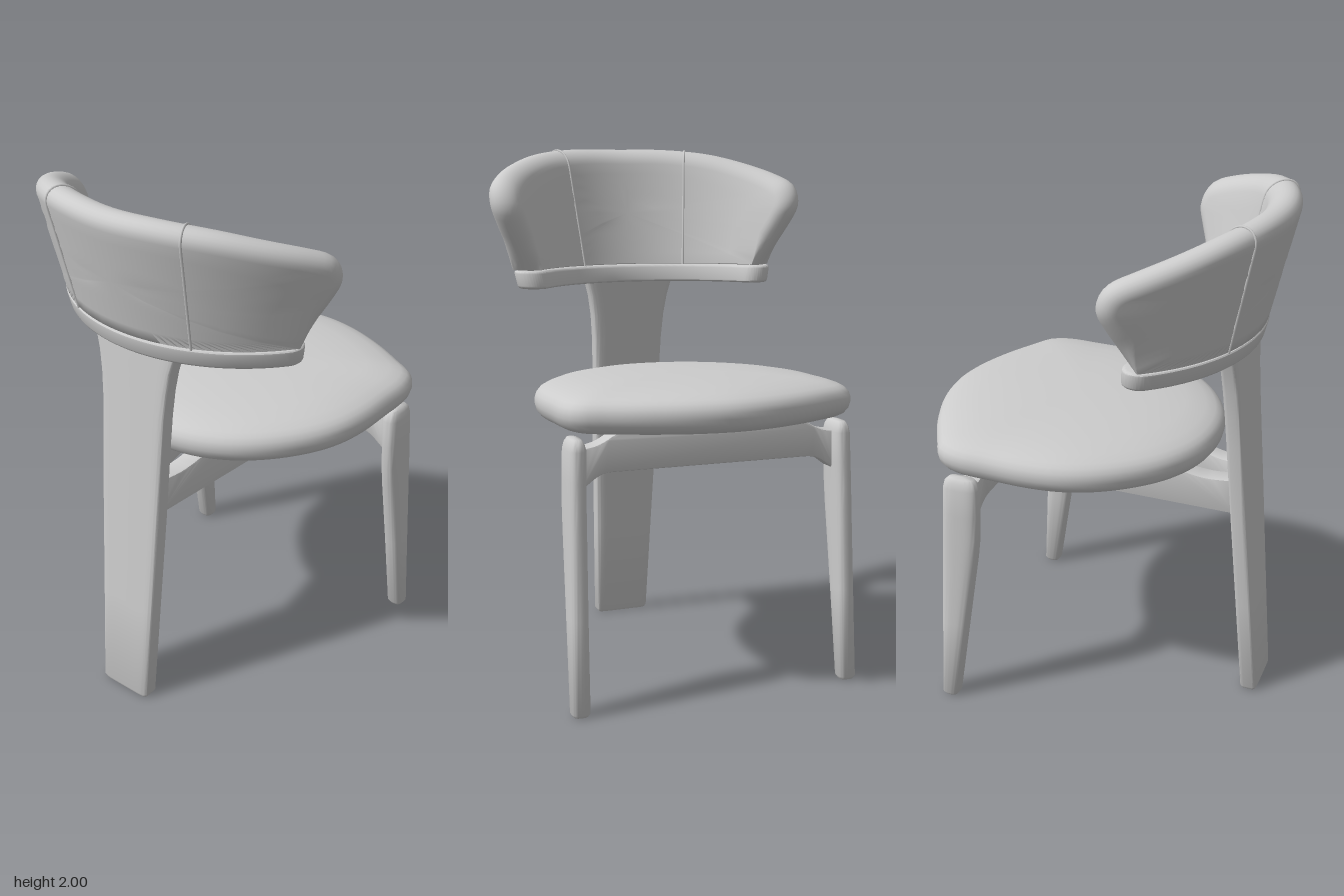
import * as THREE from 'three';
import { toCreasedNormals } from 'three/addons/utils/BufferGeometryUtils.js';

const V2 = (x, y) => new THREE.Vector2(x, y);
const V3 = (x, y, z) => new THREE.Vector3(x, y, z);

// Skin a list of closed rings (same point count), facing outward.
function loft(rings, crease = 0.8) {
  const n = rings[0].length, pts = rings.flat(), index = [];
  for (let r = 0; r < rings.length - 1; r++) {
    for (let i = 0; i < n; i++) {
      const j = (i + 1) % n, a = r * n + i, b = r * n + j, c = a + n, d = b + n;
      index.push(a, c, b, b, c, d);
    }
  }
  let volume = 0;
  for (let k = 0; k < index.length; k += 3) {
    const [a, b, c] = [0, 1, 2].map((o) => pts[index[k + o]]);
    volume += a.dot(b.clone().cross(c));
  }
  if (volume < 0) index.reverse();
  const geo = new THREE.BufferGeometry().setFromPoints(pts);
  geo.setIndex(index);
  return toCreasedNormals(geo, crease);
}

// Horizontal rounded ring; a higher power gives a boxier outline.
function ring(y, xc, zc, hx, hz, power, n = 40) {
  const f = (v) => Math.sign(v) * Math.abs(v) ** (2 / power);
  return Array.from({ length: n }, (_, i) => {
    const a = ((i + 0.5) / n) * Math.PI * 2;
    return V3(xc + hx * f(Math.cos(a)), y, zc + hz * f(Math.sin(a)));
  });
}

// Backrest surface: a cone section opening upwards around a vertical axis.
const AXIS_X = 0.08, DEG = Math.PI / 180, ARC = 0.65;
const coneRadius = (y) => 0.58 + (y - 1.46) * 0.23;
function onCone(angle, y, offset) {
  const r = coneRadius(y) + offset;
  return V3(AXIS_X - r * Math.cos(angle), y, r * Math.sin(angle));
}

function seatGeometry() {
  const half = [[-0.41, 0.15], [-0.345, 0.29], [-0.25, 0.4], [-0.12, 0.495], [0, 0.545],
    [0.13, 0.565], [0.28, 0.565], [0.4, 0.562], [0.48, 0.53], [0.535, 0.44], [0.6, 0.31], [0.655, 0.15]];
  const outline = [[-0.43, 0], ...half, [0.675, 0], ...half.map(([x, z]) => [x, -z]).reverse()];
  const curve = new THREE.CatmullRomCurve3(outline.map(([x, z]) => V3(x, 0, z)), true);
  const points = curve.getSpacedPoints(96).slice(0, 96);
  const profile = [[0, -0.06], [0.5, -0.06], [0.86, -0.059], [0.92, -0.053], [0.965, -0.04], [0.99, -0.022],
    [1, 0], [1, 0.02], [0.99, 0.038], [0.965, 0.055], [0.93, 0.066], [0.86, 0.08], [0.72, 0.094],
    [0.5, 0.105], [0.25, 0.11], [0, 0.111]];
  return loft(profile.map(([s, h]) => points.map((p) => {
    const x = 0.12 + (p.x - 0.12) * s;
    return V3(x, 1.045 + (x + 0.42) * 0.023 + h, p.z * s);
  })), 1.0);
}

function padGeometry() {
  // Unrolled outline: arc length against height
  const side = [[56, 1.53], [65, 1.69], [68, 1.775], [65, 1.855], [57, 1.9], [43, 1.95], [30, 1.984], [15, 2]];
  const upper = [...side, [0, 2], ...side.map(([a, y]) => [-a, y]).reverse()];
  const curve = new THREE.SplineCurve(upper.map(([a, y]) => V2(a * DEG * ARC, y)));
  const outline = curve.getSpacedPoints(90);
  const end = 56 * DEG * ARC;
  for (let i = 1; i < 40; i++) outline.push(V2(-end + (2 * end * i) / 40, 1.53));
  const n = outline.length;
  const inset = (d) => outline.map((p, i) => {
    const t = outline[(i + 1) % n].clone().sub(outline[(i + n - 1) % n]).normalize();
    const k = d * THREE.MathUtils.clamp((p.y - 1.53) / 0.1, 0.08, 1);
    return V2(p.x - t.y * k, p.y + t.x * k);
  });
  const place = (pts, offset) => pts.map((p) => onCone(p.x / ARC, p.y, offset));
  const scaled = (s) => inset(0.06).map((p) => V2(p.x * s, 1.74 + (p.y - 1.74) * s));
  const T = 0.062, rings = [];
  const steps = [0, 0.2, 0.4, 0.6, 0.8];
  steps.forEach((s) => rings.push(place(scaled(s), -T)));
  for (let k = -6; k <= 6; k++) {
    const a = (k / 6) * Math.PI / 2;
    rings.push(place(inset(0.06 * (1 - Math.cos(a))), T * Math.sin(a)));
  }
  steps.reverse().forEach((s) => rings.push(place(scaled(s), T)));
  return loft(rings, 0.9);
}

function railGeometry() {
  // Curved band under the pad, leaning with the cone
  const a = 53 * DEG, r = coneRadius(1.46), t = 0.052, b = 0.012, shape = new THREE.Shape();
  shape.absarc(0, 0, r + t, -a, a, false);
  shape.absarc(r * Math.cos(a), r * Math.sin(a), t, a, a + Math.PI, false);
  shape.absarc(0, 0, r - t, a, -a, true);
  shape.absarc(r * Math.cos(a), -r * Math.sin(a), t, Math.PI - a, 2 * Math.PI - a, false);
  const geo = new THREE.ExtrudeGeometry(shape, { depth: 0.07 - 2 * b, bevelSize: b, bevelThickness: b,
    bevelSegments: 3, curveSegments: 32 });
  geo.rotateX(-Math.PI / 2).rotateY(Math.PI).translate(0, 1.46 + b, 0);
  const p = geo.attributes.position;
  for (let i = 0; i < p.count; i++) {
    const k = coneRadius(p.getY(i)) / r;
    p.setXYZ(i, p.getX(i) * k + AXIS_X, p.getY(i), p.getZ(i) * k);
  }
  return toCreasedNormals(geo, 0.6);
}

// Piping that runs up the inner face, over the rim and down the back
function seamGeometry(angle) {
  const pts = [], T = 0.062, top = 1.995;
  for (let i = 0; i <= 6; i++) pts.push(onCone(angle, 1.53 + (top - 0.06 - 1.53) * i / 6, -T));
  for (let i = 1; i < 8; i++) {
    const a = (i / 8) * Math.PI;
    pts.push(onCone(angle, top - 0.06 + 0.06 * Math.sin(a), -T * Math.cos(a)));
  }
  for (let i = 6; i >= 0; i--) pts.push(onCone(angle, 1.53 + (top - 0.06 - 1.53) * i / 6, T));
  return new THREE.TubeGeometry(new THREE.CatmullRomCurve3(pts), 70, 0.005, 6);
}

function frontLegGeometry(side) {
  // height, rear x, front x, inner z, outer z
  const rows = [[0, 0.49, 0.49, 0.53, 0.53], [0, 0.463, 0.517, 0.503, 0.557], [0.012, 0.455, 0.525, 0.495, 0.565],
    [0.35, 0.4, 0.508, 0.491, 0.561], [0.66, 0.35, 0.492, 0.486, 0.557], [0.74, 0.34, 0.488, 0.485, 0.556],
    [0.84, 0.336, 0.482, 0.483, 0.554], [0.95, 0.335, 0.476, 0.48, 0.551], [0.975, 0.342, 0.47, 0.487, 0.544],
    [0.99, 0.355, 0.455, 0.496, 0.535], [0.995, 0.405, 0.405, 0.516, 0.516]];
  return loft(rows.map(([y, x0, x1, z0, z1]) =>
    ring(y, (x0 + x1) / 2, side * (z0 + z1) / 2, (x1 - x0) / 2, (z1 - z0) / 2, 2.8)));
}

function backLegGeometry() {
  // height, half width; the plank leans forward and flares into the rail
  const rows = [[0, 0.105], [0.012, 0.112], [0.4, 0.124], [0.8, 0.137], [1.1, 0.143], [1.22, 0.147],
    [1.32, 0.155], [1.4, 0.168], [1.48, 0.19]];
  const rings = rows.map(([y, w], i) => ring(y, -0.62 + y * 0.0856, 0, i ? 0.035 : 0.029, w, 7, 56));
  return loft([ring(0, -0.62, 0, 0, 0, 7, 56), ...rings, ring(1.48, -0.493, 0, 0, 0, 7, 56)], 0.6);
}

// Flat board with softened edges, centred on its thickness
function board(shape, thick) {
  const b = 0.008;
  const geo = new THREE.ExtrudeGeometry(shape, { depth: thick - 2 * b, bevelSize: b, bevelOffset: -b,
    bevelThickness: b, bevelSegments: 2, curveSegments: 12 });
  return geo.translate(0, 0, -thick / 2 + b);
}

function crossbarGeometry() {
  const s = new THREE.Shape();
  s.moveTo(-0.5, 0.805);
  s.bezierCurveTo(-0.46, 0.825, -0.44, 0.862, -0.38, 0.862);
  s.lineTo(0.38, 0.862);
  s.bezierCurveTo(0.44, 0.862, 0.46, 0.825, 0.5, 0.805);
  s.lineTo(0.5, 0.955);
  s.bezierCurveTo(0.4, 0.955, 0.39, 1.01, 0.32, 1.01);
  s.lineTo(-0.32, 1.01);
  s.bezierCurveTo(-0.39, 1.01, -0.4, 0.955, -0.5, 0.955);
  return toCreasedNormals(board(s, 0.075).rotateY(Math.PI / 2).translate(0.395, 0, 0), 0.6);
}

function stretcherGeometry(side) {
  const s = new THREE.Shape();
  s.moveTo(-0.53, 0.798);
  s.lineTo(0.38, 0.89);
  s.lineTo(0.38, 1.005);
  s.lineTo(-0.18, 0.993);
  s.bezierCurveTo(-0.3, 0.985, -0.35, 0.942, -0.45, 0.94);
  s.lineTo(-0.53, 0.94);
  const geo = board(s, 0.075), p = geo.attributes.position;
  // Splay the pair apart towards the front
  for (let i = 0; i < p.count; i++) p.setZ(i, p.getZ(i) + side * (0.07 + 0.15 * (p.getX(i) + 0.51)));
  return toCreasedNormals(geo, 0.6);
}

export function createModel() {
  const group = new THREE.Group();
  group.name = 'chair';
  const grey = new THREE.MeshStandardMaterial({ color: 0xcccccc });
  grey.name = 'light grey';
  const add = (name, geo) => {
    const mesh = new THREE.Mesh(geo, grey);
    mesh.name = name;
    group.add(mesh);
  };
  add('seat', seatGeometry());
  add('backrestPad', padGeometry());
  add('backrestRail', railGeometry());
  add('backLeg', backLegGeometry());
  add('frontCrossbar', crossbarGeometry());
  for (const [label, side] of [['right', 1], ['left', -1]]) {
    add(label + 'FrontLeg', frontLegGeometry(side));
    add(label + 'Stretcher', stretcherGeometry(side));
    add(label + 'BackrestSeam', seamGeometry(side * 23.5 * DEG));
  }
  return group;
}
